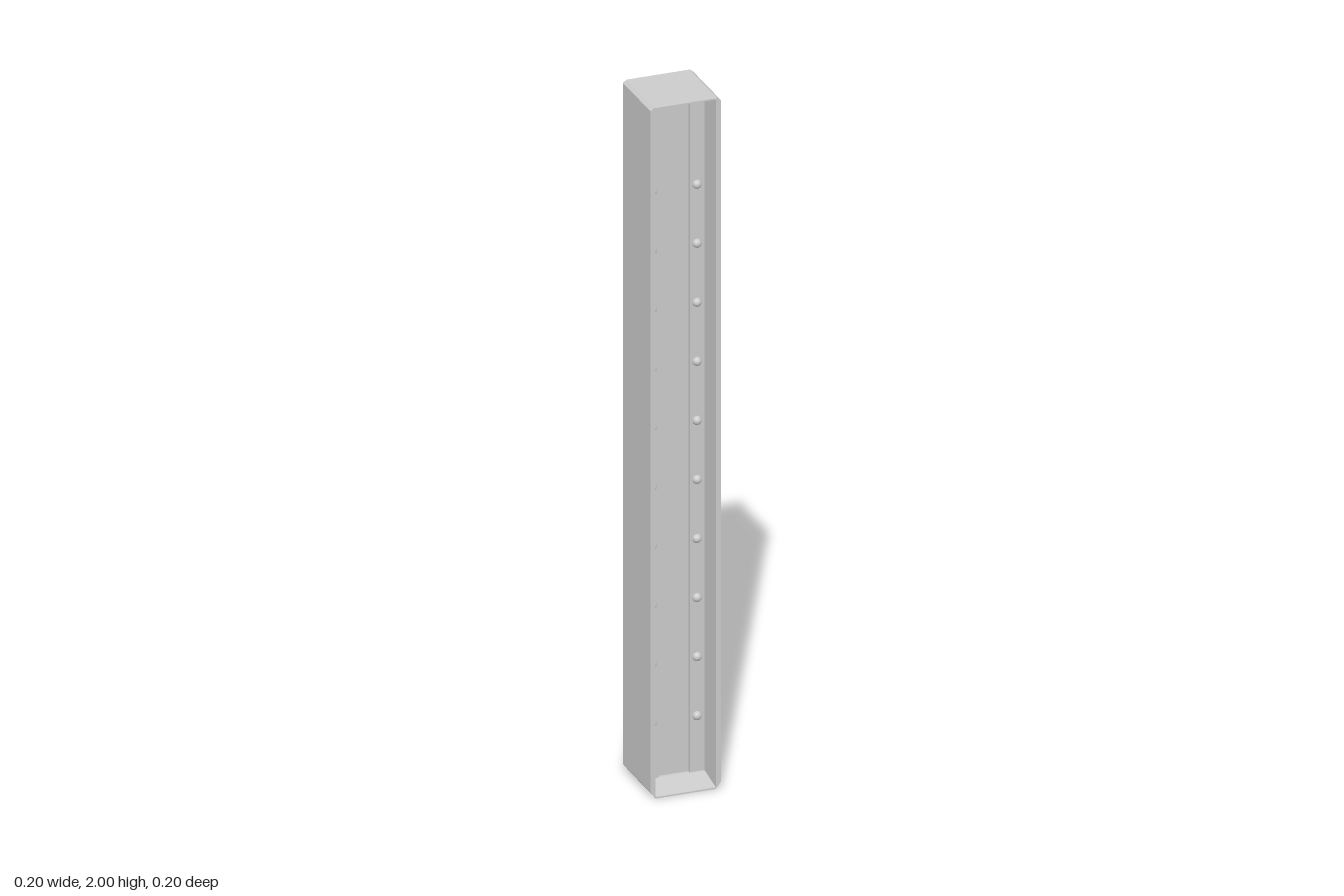
import * as THREE from 'three';

const HALF = 0.1;        // half width and half depth
const HEIGHT = 2;
const INNER = 0.086;     // inner face of the side flanges
const STRIP_Z = 0.017;   // outer face of the riveted strips
const WEB_Z = 0.007;     // outer face of the central web
const FLOOR_Y = 0.02;    // height of the floor where it meets the web

export function createModel() {
  const group = new THREE.Group();
  const material = new THREE.MeshStandardMaterial({ color: 0xcccccc });

  const add = (name, geometry, x = 0, y = 0, z = 0) => {
    const mesh = new THREE.Mesh(geometry, material);
    mesh.name = name;
    mesh.position.set(x, y, z);
    group.add(mesh);
    return mesh;
  };
  const polygon = (points) => points.map(([x, y]) => new THREE.Vector2(x, y));

  // Outer frame: two flanges joined by thin end plates, with chamfered corners
  const outline = new THREE.Shape(polygon([
    [-0.085, 0], [0.085, 0], [HALF, FLOOR_Y], [HALF, 1.992],
    [0.09, HEIGHT], [-0.09, HEIGHT], [-HALF, 1.992], [-HALF, FLOOR_Y],
  ]));
  outline.holes.push(new THREE.Path(polygon([
    [-INNER, 0.004], [-INNER, 1.996], [INNER, 1.996], [INNER, 0.004],
  ])));
  const frame = new THREE.ExtrudeGeometry(outline, { depth: 2 * HALF, bevelEnabled: false });
  add('frame', frame, 0, 0, -HALF);

  // Floor sloping down from the web to both open sides
  const slope = new THREE.Shape(polygon([
    [-HALF, 0.003], [HALF, 0.003], [STRIP_Z, FLOOR_Y], [-STRIP_Z, FLOOR_Y],
  ]));
  const floor = new THREE.ExtrudeGeometry(slope, { depth: 2 * INNER, bevelEnabled: false });
  floor.translate(0, 0, -INNER);
  floor.rotateY(Math.PI / 2);
  add('slopedFloor', floor);

  // Central web
  const bodyHeight = HEIGHT - 0.008;
  add('web', new THREE.BoxGeometry(2 * INNER, bodyHeight, 2 * WEB_Z), 0, HEIGHT / 2, 0);

  // Raised strips beside the flanges, with domed rivets front and back
  const stripInner = 0.044;
  const stripWidth = INNER - stripInner;
  const stripGeometry = new THREE.BoxGeometry(stripWidth, bodyHeight, 2 * STRIP_Z);
  const rivetGeometry = new THREE.SphereGeometry(0.013, 12, 6, 0, Math.PI * 2, 0, Math.PI / 2);
  rivetGeometry.rotateX(Math.PI / 2);
  for (const side of [-1, 1]) {
    add('strip', stripGeometry, side * (stripInner + stripWidth / 2), HEIGHT / 2, 0);
    for (const face of [-1, 1]) {
      for (let i = 0; i < 10; i++) {
        const rivet = add('rivet', rivetGeometry, side * 0.064, 0.182 + i * 0.171, face * STRIP_Z);
        if (face < 0) rivet.rotation.y = Math.PI;
      }
    }
  }

  return group;
}
